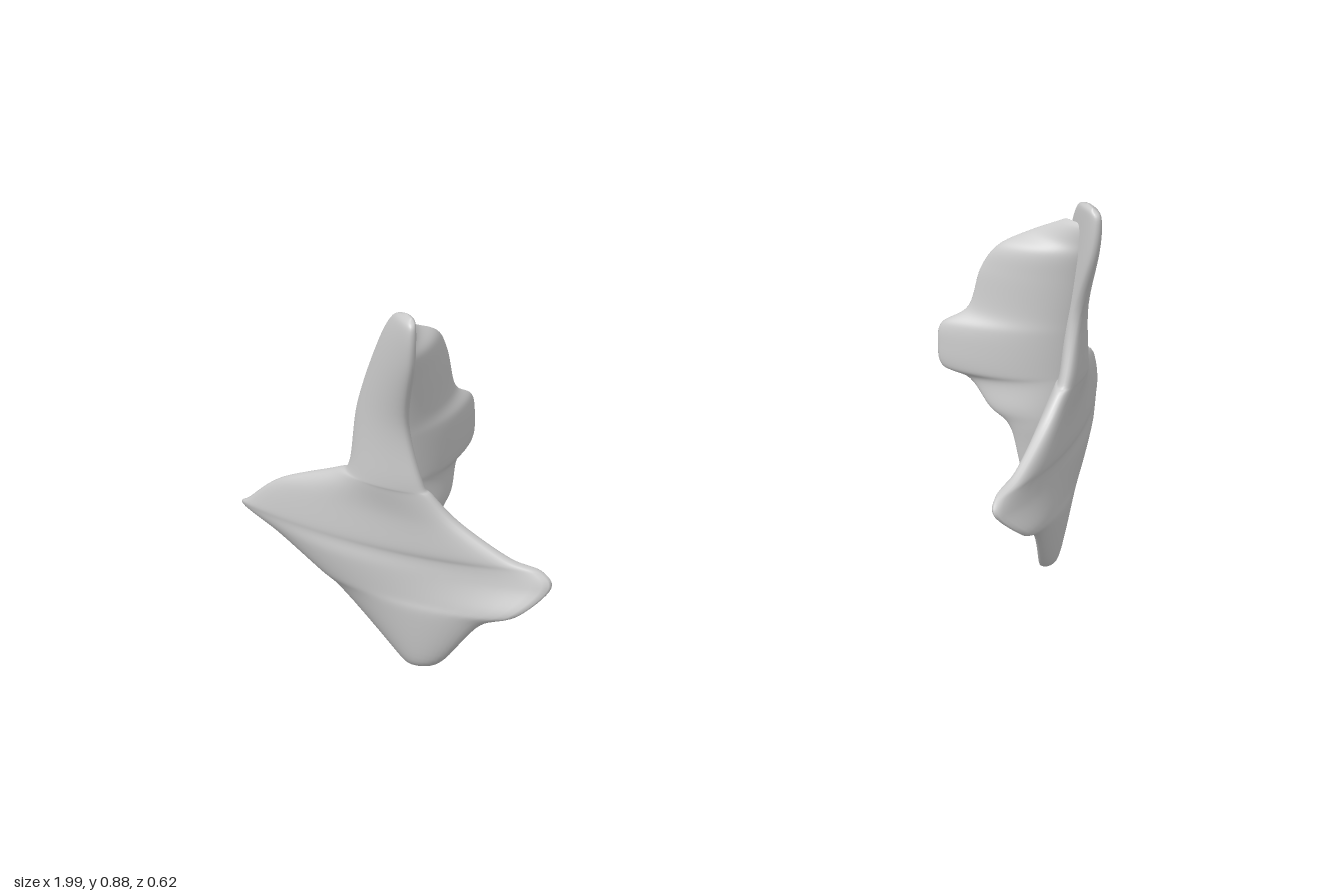
import * as THREE from 'three';

// Rows from bottom to top: [y, frontX, frontZ, midX, midZ, backX, backZ]
const BLADE = [
  [0.00, 0.73, 0.07, 0.735, 0.06, 0.74, 0.05],
  [0.03, 0.70, 0.13, 0.74, 0.08, 0.76, 0.02],
  [0.14, 0.65, 0.22, 0.765, 0.07, 0.84, -0.09],
  [0.18, 0.59, 0.29, 0.77, 0.06, 0.88, -0.12],
  [0.24, 0.52, 0.31, 0.78, 0.05, 0.94, -0.22],
  [0.275, 0.53, 0.29, 0.785, 0.04, 0.985, -0.305],
  [0.30, 0.59, 0.25, 0.79, 0.04, 0.98, -0.28],
  [0.37, 0.68, 0.18, 0.795, 0.04, 0.94, -0.20],
  [0.43, 0.73, 0.15, 0.81, 0.04, 0.86, -0.08],
  [0.46, 0.75, 0.14, 0.81, 0.05, 0.84, -0.04],
  [0.60, 0.78, 0.13, 0.81, 0.055, 0.825, -0.03],
  [0.76, 0.795, 0.195, 0.805, 0.12, 0.81, 0.04],
  [0.85, 0.80, 0.21, 0.80, 0.16, 0.80, 0.10],
  [0.877, 0.795, 0.19, 0.795, 0.18, 0.795, 0.16],
];

// Free inner edge of the flap from bottom to top: [x, y, z]
const FLAP_EDGE = [
  [0.715, 0.06, 0.055], [0.68, 0.25, 0.045], [0.66, 0.33, 0.04],
  [0.625, 0.37, 0.015], [0.595, 0.425, -0.025], [0.545, 0.45, -0.06],
  [0.537, 0.50, -0.066], [0.545, 0.548, -0.064], [0.595, 0.59, -0.035],
  [0.618, 0.68, -0.022], [0.65, 0.74, 0.002], [0.71, 0.775, 0.03],
  [0.77, 0.82, 0.095],
];

// The flap root follows the blade's spine and the middle is bowed forward
function flapRows(edgeShift) {
  return FLAP_EDGE.map(([x, y, z]) => {
    const rootX = 0.80 - 0.06 * Math.pow(1 - y / 0.82, 2);
    const rootZ = 0.07 + 0.09 * Math.pow(y / 0.82, 3);
    const bow = 0.25 * (rootX - x);
    const backZ = z + edgeShift;
    return [y, rootX, rootZ, (rootX + x) / 2, (rootZ + backZ) / 2 + 0.6 * bow * rootX, x, backZ];
  });
}

// Loft thin lens-shaped sections through the rows; side is +1 or -1
function loftSheet(rows, side, thickness, steps = 96, ring = 40) {
  const cols = [1, 3, 5].map(c => new THREE.CatmullRomCurve3(
    rows.map(r => new THREE.Vector3(r[c], r[0], r[c + 1])), false, 'catmullrom', 0.5));
  const pos = [], idx = [];
  for (let i = 0; i <= steps; i++) {
    const t = i / steps;
    const [f, m, b] = cols.map(c => c.getPoint(t));
    // half thickness, rounded off towards both ends
    const half = thickness * (1 - 0.2 * t) * Math.pow(Math.max(Math.sin(Math.PI * t), 0.002), 0.4);
    for (let j = 0; j < ring; j++) {
      const a = (j / ring) * Math.PI * 2, s = (1 - Math.cos(a)) / 2;
      // quadratic centre line through front, middle and back
      const w = [(1 - s) * (1 - 2 * s), 4 * s * (1 - s), s * (2 * s - 1)];
      const d = [4 * s - 3, 4 - 8 * s, 4 * s - 1];
      const mix = (q, axis) => q[0] * f[axis] + q[1] * m[axis] + q[2] * b[axis];
      const tx = mix(d, 'x'), tz = mix(d, 'z'), len = Math.hypot(tx, tz) || 1;
      const off = half * Math.sign(Math.sin(a)) * Math.pow(Math.abs(Math.sin(a)), 0.8);
      pos.push(side * (mix(w, 'x') - (tz / len) * off), f.y, mix(w, 'z') + (tx / len) * off);
    }
  }
  const tri = (a, b, c) => (side > 0 ? idx.push(a, b, c) : idx.push(a, c, b));
  for (let i = 0; i < steps; i++) {
    for (let j = 0; j < ring; j++) {
      const a = i * ring + j, b = i * ring + (j + 1) % ring;
      tri(a, b, b + ring);
      tri(a, b + ring, a + ring);
    }
  }
  // close both ends
  const top = steps * ring;
  for (let j = 1; j < ring - 1; j++) {
    tri(0, j + 1, j);
    tri(top, top + j, top + j + 1);
  }
  const g = new THREE.BufferGeometry();
  g.setAttribute('position', new THREE.Float32BufferAttribute(pos, 3));
  g.setIndex(idx);
  g.computeVertexNormals();
  return g;
}

export function createModel() {
  const model = new THREE.Group();
  const material = new THREE.MeshStandardMaterial({ color: 0xcccccc });
  for (const side of [1, -1]) {
    const piece = new THREE.Group();
    piece.name = side > 0 ? 'leftPiece' : 'rightPiece';
    // swept outer blade with upright spike, front hook and rear tip
    const blade = new THREE.Mesh(loftSheet(BLADE, side, 0.036), material);
    blade.name = 'outerBlade';
    // thin inner flap; the right one reaches a little further back
    const rows = flapRows(side > 0 ? 0 : -0.025);
    const flap = new THREE.Mesh(loftSheet(rows, side, 0.018), material);
    flap.name = 'innerFlap';
    piece.add(blade, flap);
    model.add(piece);
  }
  return model;
}
